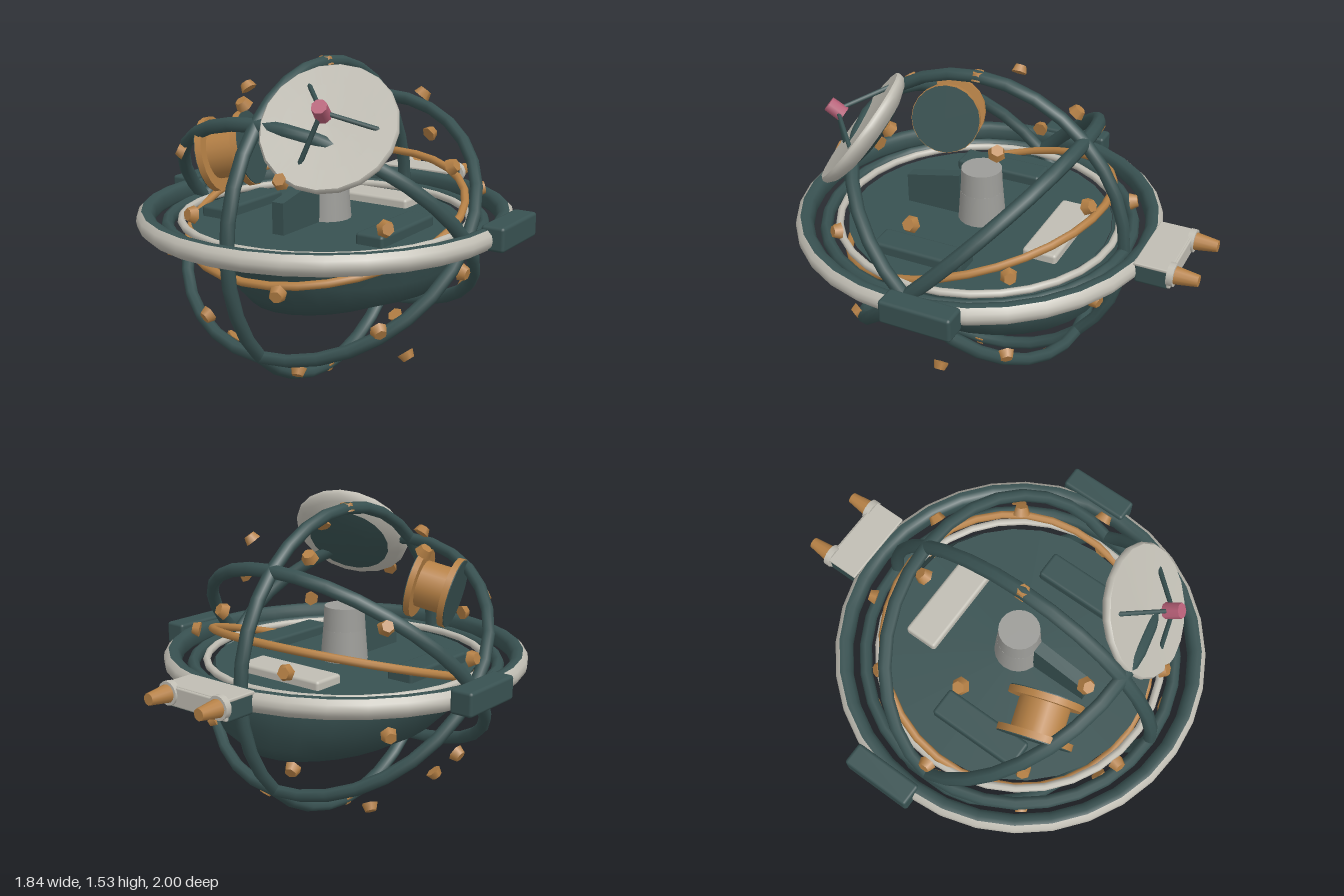
import * as THREE from 'three';
import { RoundedBoxGeometry } from 'three/addons/geometries/RoundedBoxGeometry.js';

const mat = (name, color) => {
  const m = new THREE.MeshStandardMaterial({ color });
  m.name = name;
  return m;
};
const UP = new THREE.Vector3(0, 1, 0);
const V = (x, y, z) => new THREE.Vector3(x, y, z);

export function createModel() {
  const teal = mat('dark teal', 0x385151);
  const grey = mat('light grey', 0xc0bdb3);
  const midGrey = mat('mid grey', 0x9c9c98);
  const orange = mat('copper', 0xb58045);
  const pink = mat('rose', 0xb86078);

  const root = new THREE.Group();
  root.name = 'orbitalStation';
  const C = V(0, 0.77, 0.125); // centre of the cage

  const add = (name, geo, material, pos = V(0, 0, 0), parent = root) => {
    const m = new THREE.Mesh(geo, material);
    m.name = name;
    m.position.copy(pos);
    parent.add(m);
    return m;
  };
  const box = (name, w, h, d, material, x, y, z, r = 0.015) =>
    add(name, new RoundedBoxGeometry(w, h, d, 2, r), material, V(x, y, z));
  const lathe = (pts, n) => new THREE.LatheGeometry(pts.map(p => new THREE.Vector2(...p)), n);
  // group whose local y axis points along a direction
  const aimed = (name, pos, dir) => {
    const g = new THREE.Group();
    g.name = name;
    g.position.copy(pos);
    g.quaternion.setFromUnitVectors(UP, dir.clone().normalize());
    root.add(g);
    return g;
  };
  const ring = (name, radius, tube, material, tilt, pos = C) => {
    const m = add(name, new THREE.TorusGeometry(radius, tube, 8, 32), material, pos);
    m.rotation.x = Math.PI / 2 + tilt;
    return m;
  };

  // Cage of slightly flattened rings: one level, two tilted about x, one upright facing sideways
  const cage = [0, Math.PI / 4, -Math.PI / 4, 0].map(t => ring('cageRing', 0.732, 0.029, teal, t));
  cage.forEach(r => { r.scale.z = 1.17; });
  cage[3].rotation.set(0, Math.PI / 2, 0);

  // Tilted copper ring and deck rim
  ring('tiltedRing', 0.65, 0.019, orange, 0.28, V(0, 0.81, 0.125));
  ring('deckRim', 0.668, 0.018, grey, 0, V(0, 0.79, 0.125));

  // Outer ring: light shell with a dark inner band
  add('outerRing', lathe([[0.82, 0.756], [0.845, 0.757], [0.867, 0.78], [0.872, 0.803],
    [0.867, 0.828], [0.847, 0.848]], 32), grey, V(0, 0, 0.125));
  add('outerRingInnerBand', lathe([[0.847, 0.848], [0.828, 0.852], [0.805, 0.845], [0.79, 0.825],
    [0.79, 0.78], [0.805, 0.762], [0.82, 0.756]], 32), teal, V(0, 0, 0.125));

  // Hull: loft through ellipses given as y, xMin, xMax, zMin, zMax
  const sections = [
    [0.432, 0, 0, 0.04, 0.04],
    [0.437, -0.35, 0.37, -0.46, 0.55],
    [0.5, -0.46, 0.54, -0.505, 0.6],
    [0.6, -0.56, 0.595, -0.53, 0.655],
    [0.72, -0.62, 0.62, -0.55, 0.7],
    [0.78, -0.63, 0.63, -0.51, 0.755],
  ];
  const N = 28, verts = [], idx = [];
  sections.forEach(([y, x0, x1, z0, z1], i) => {
    for (let j = 0; j < N; j++) {
      const a = (j / N) * Math.PI * 2;
      verts.push((x0 + x1) / 2 + ((x1 - x0) / 2) * Math.cos(a), y,
        (z0 + z1) / 2 + ((z1 - z0) / 2) * Math.sin(a));
      if (i + 1 < sections.length) {
        const p = i * N + j, q = i * N + ((j + 1) % N);
        idx.push(p, p + N, q + N, p, q + N, q);
      }
    }
  });
  const hull = new THREE.BufferGeometry();
  hull.setAttribute('position', new THREE.Float32BufferAttribute(verts, 3));
  hull.setIndex(idx);
  hull.computeVertexNormals();
  add('hull', hull, teal);
  const deck = add('deck', new THREE.CircleGeometry(0.63, N), teal, V(0, 0.78, 0.1225));
  deck.rotation.x = -Math.PI / 2;

  // Deck fittings
  for (const s of [-1, 1]) box('deckLocker', 0.138, 0.07, 0.45, teal, s * 0.425, 0.795, 0.205);
  box('deckHatch', 0.48, 0.06, 0.165, grey, 0, 0.792, -0.285);
  add('columnTop', new THREE.CylinderGeometry(0.096, 0.102, 0.12, 20), midGrey, V(0, 0.98, 0.115));
  add('columnBase', new THREE.CylinderGeometry(0.102, 0.115, 0.16, 20), midGrey, V(0, 0.85, 0.115));

  // Upright fin with a sloping top, drawn in the zy plane
  const finShape = new THREE.Shape([[-0.5, 0.77], [-0.22, 0.77], [-0.22, 0.985], [-0.5, 0.925]]
    .map(p => new THREE.Vector2(...p)));
  const fin = add('fin', new THREE.ExtrudeGeometry(finShape, { depth: 0.06, bevelEnabled: false }),
    teal, V(-0.03, 0, 0));
  fin.rotation.y = Math.PI / 2;

  // Side pods
  for (const s of [-1, 1]) box('sidePod', 0.11, 0.112, 0.34, teal, s * 0.865, 0.811, -0.02);

  // Engine block and nozzles at the back
  box('engineBlock', 0.37, 0.1, 0.16, teal, 0, 0.805, -0.795);
  box('engineCover', 0.38, 0.016, 0.165, grey, 0, 0.852, -0.795, 0.006);
  box('engineBackPlate', 0.375, 0.09, 0.02, grey, 0, 0.81, -0.875, 0.008);
  for (const s of [-1, 1]) {
    const n = aimed('nozzleAssembly', V(s * 0.15, 0.822, -0.88), V(0, 0, -1));
    add('nozzleCollar', new THREE.CylinderGeometry(0.054, 0.054, 0.03, 14), grey, V(0, 0, 0), n);
    add('nozzle', new THREE.CylinderGeometry(0.027, 0.043, 0.12, 12), orange, V(0, 0.06, 0), n);
  }

  // Dish antenna
  const dishPos = V(0.31, 1.3, 0.56), dishDir = V(0.25, 0.61, 0.75).normalize();
  const dish = aimed('dish', dishPos, dishDir);
  add('dishBack', lathe([[0, -0.09], [0.1, -0.088], [0.21, -0.065]], 20), teal, V(0, 0, 0), dish);
  add('dishRim', lathe([[0.21, -0.065], [0.265, -0.045], [0.293, -0.02], [0.297, 0],
    [0.288, 0.012]], 20), grey, V(0, 0, 0), dish);
  add('dishFace', lathe([[0.288, 0.012], [0.2, 0.008], [0.1, 0.004], [0, 0.002]], 20),
    grey, V(0, 0, 0), dish);
  add('dishFeed', new THREE.CylinderGeometry(0.034, 0.036, 0.08, 8), pink, V(0, 0.135, 0), dish);
  const feed = dishPos.clone().addScaledVector(dishDir, 0.13);
  for (const o of [V(-0.145, 0.15, -0.074), V(0.2, 0, -0.067), V(-0.055, -0.14, 0.13)]) {
    const foot = dishPos.clone().add(o), d = feed.clone().sub(foot);
    const strut = aimed('feedStrut', foot.clone().addScaledVector(d, 0.5), d);
    add('strutRod', new THREE.CylinderGeometry(0.01, 0.011, d.length(), 6), teal, V(0, 0, 0), strut);
  }

  // Cable spool
  const spool = aimed('spool', V(-0.3, 1.112, 0.44), V(0.93, 0.22, -0.3));
  add('spoolCore', new THREE.CylinderGeometry(0.115, 0.115, 0.18, 18), orange, V(0, 0, 0), spool);
  for (const s of [-1, 1]) {
    add('spoolFlange', new THREE.CylinderGeometry(0.17, 0.17, 0.03, 20), orange, V(0, s * 0.085, 0), spool);
    add('spoolEndPlate', new THREE.CylinderGeometry(0.167, 0.167, 0.008, 20), teal, V(0, s * 0.1, 0), spool);
  }

  // Studs on a sphere: rows of five (height, first angle), plus two poles sunk in the cage
  const R = 0.738;
  const stud = (x, y, z) => {
    const dir = V(x, y, z);
    const g = aimed('stud', C.clone().addScaledVector(dir, R), dir);
    add('studCap', new THREE.CylinderGeometry(0.028, 0.04, 0.036, 6), orange, V(0, 0, 0), g);
  };
  const rows = [[0.795, Math.PI], [0.447, 0], [0.188, Math.PI], [-0.188, 0], [-0.447, Math.PI], [-0.795, 0]];
  for (const [h, a0] of rows) {
    const r = Math.sqrt(1 - h * h);
    for (let k = 0; k < 5; k++) {
      const a = a0 + (k * Math.PI * 2) / 5;
      stud(r * Math.cos(a), h, r * Math.sin(a));
    }
  }
  stud(0, 1, 0);
  stud(0, -1, 0);

  return root;
}
